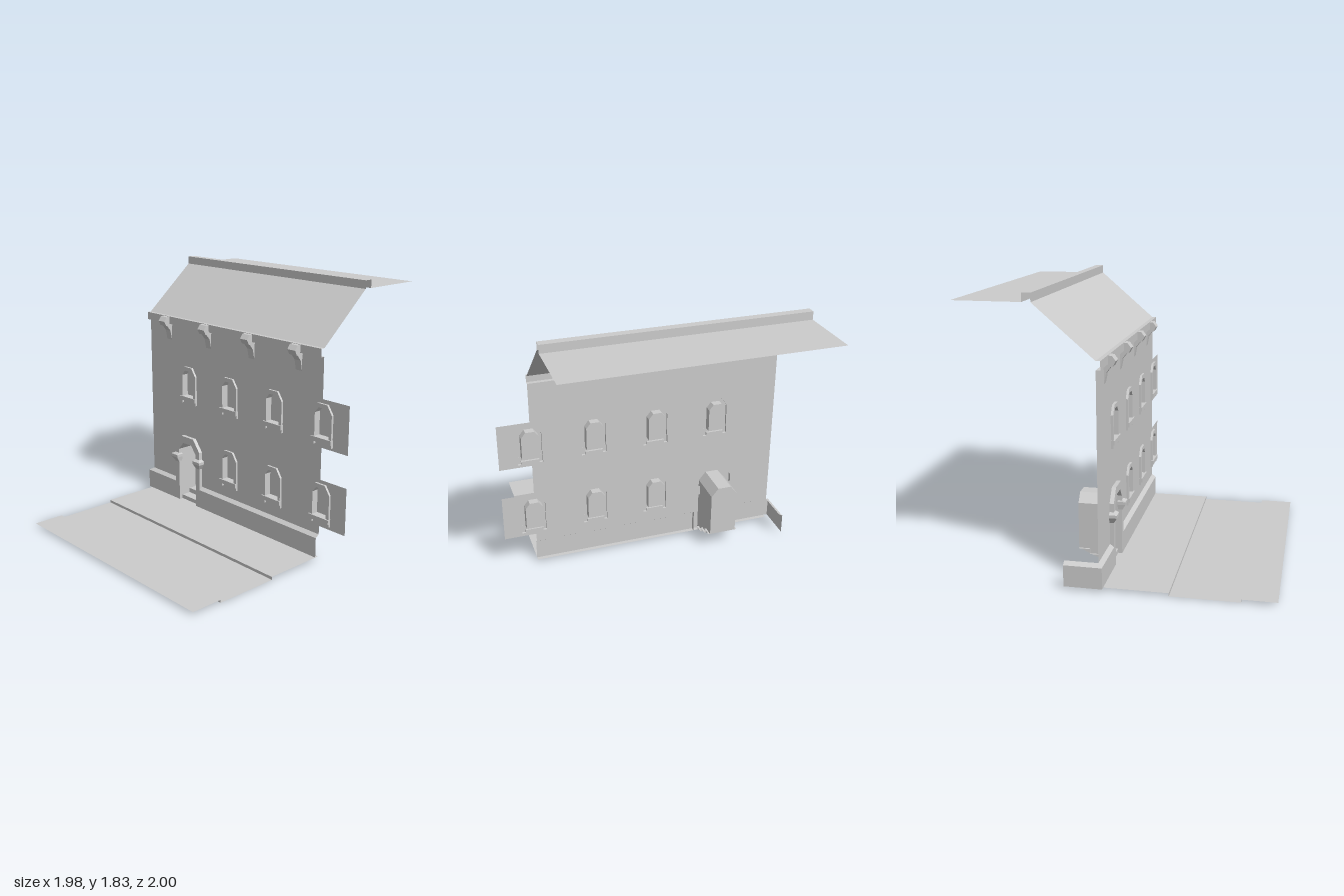
import * as THREE from 'three';

const WALL = 0.108; // x of the wall plane; the facade faces -x
const Z0 = -0.97, Z1 = 0.78; // ends of the modelled street section
const stone = new THREE.MeshStandardMaterial({ color: 0xcccccc, side: THREE.DoubleSide });
stone.name = 'pale grey stone';

function mesh(name, geometry) {
  const m = new THREE.Mesh(geometry, stone);
  m.name = name;
  return m;
}

// Flat-sided surface through a list of 3D cross-sections
function loft(name, sections, closed = false) {
  const pos = [];
  for (let i = 0; i + 1 < sections.length; i++) {
    const a = sections[i], b = sections[i + 1], n = a.length;
    for (let j = 0; j < (closed ? n : n - 1); j++) {
      const k = (j + 1) % n;
      pos.push(...a[j], ...b[j], ...b[k], ...a[j], ...b[k], ...a[k]);
    }
  }
  const g = new THREE.BufferGeometry();
  g.setAttribute('position', new THREE.Float32BufferAttribute(pos, 3));
  g.computeVertexNormals();
  return mesh(name, g);
}

// An x,y profile drawn out along z
const strip = (name, pts, za, zb) =>
  loft(name, [zb, za].map(z => pts.map(([x, y]) => [x, y, z])));

// A z,y outline (with holes) placed at a given x, facing -x
const vec = pts => pts.map(([a, b]) => new THREE.Vector2(a, b));
function panel(name, pts, x, holes = []) {
  const s = new THREE.Shape(vec(pts));
  for (const h of holes) s.holes.push(new THREE.Path(vec(h)));
  return mesh(name, new THREE.ShapeGeometry(s).rotateY(-Math.PI / 2).translate(x, 0, 0));
}

// Side walls joining a z,y outline at two depths
const rim = (name, pts, xa, xb, closed = true) =>
  loft(name, [xa, xb].map(x => pts.map(([z, y]) => [x, y, z])), closed);

// Right half of an outline, mirrored and moved into place
const mirror = (half, cz, cy = 0) => [
  ...half.map(([z, y]) => [cz + z, cy + y]),
  ...[...half].reverse().map(([z, y]) => [cz - z, cy + y]),
];

const frameHalf = [[0.062, 0.285], [0.062, 0.262], [0.086, 0.262], [0.086, 0.315], [0.083, 0.315], [0.083, 0.48], [0.042, 0.541]];
const openHalf = [[0.06, 0.315], [0.06, 0.475], [0.03, 0.513]];

function createWindow(cz, cy) {
  const g = new THREE.Group();
  g.name = 'window';
  const outer = mirror(frameHalf, cz, cy), inner = mirror(openHalf, cz, cy);
  const sill = mesh('windowSill', new THREE.BoxGeometry(0.01, 0.03, 0.174));
  sill.position.set(0.088, cy + 0.3, cz);
  g.add(
    panel('windowFrame', outer, 0.092, [inner]),
    rim('windowFrameEdge', outer, WALL, 0.092),
    rim('windowReveal', inner, 0.092, 0.142),
    panel('windowPane', inner, 0.142),
    sill
  );
  return g;
}

const DOOR = -0.528;
const doorOuter = mirror([[0.137, 0.02], [0.137, 0.455], [0.068, 0.543]], DOOR);
const doorArch = [[0.095, 0.43], [0.046, 0.49]];

function createDoorway() {
  const g = new THREE.Group();
  g.name = 'doorway';
  const front = mirror([[0.095, 0.02], ...doorArch], DOOR);
  const back = mirror([[0.095, 0.12], ...doorArch], DOOR);
  // The surround is one arch band, open at the foot
  const half = doorOuter.length / 2;
  const band = [...doorOuter.slice(0, half), ...doorOuter.slice(half), ...[...front].reverse()];
  g.add(
    panel('doorSurround', band, 0.08),
    rim('doorSurroundEdge', doorOuter, WALL, 0.08, false),
    loft('doorReveal', [
      front.map(([z, y]) => [0.08, y, z]),
      front.map(([z, y]) => [WALL, y, z]),
      back.map(([z, y]) => [0.325, y, z]),
    ]),
    panel('doorBackWall', back, 0.325),
    panel('doorLeaf', [[-0.085, 0.12], [0.085, 0.12], [0.085, 0.42], [-0.085, 0.42]].map(([z, y]) => [DOOR + z, y]), 0.32),
    strip('doorSteps', [[WALL, 0.02], [WALL, 0.05], [0.18, 0.05], [0.18, 0.085], [0.25, 0.085], [0.25, 0.12], [0.325, 0.12]], DOOR - 0.108, DOOR + 0.108)
  );
  // Flared capitals on both pillars: [y, front x, inner offset, outer offset]
  const rings = [[0.325, 0.08, 0.096, 0.137], [0.365, 0.056, 0.09, 0.16], [0.385, 0.056, 0.09, 0.16], [0.398, 0.08, 0.096, 0.137]];
  for (const s of [-1, 1]) {
    g.add(loft('doorCapital', rings.map(([y, x, a, b]) =>
      [[x, y, DOOR + s * a], [x, y, DOOR + s * b], [WALL, y, DOOR + s * b], [WALL, y, DOOR + s * a]]), true));
  }
  return g;
}

// Cornice bracket: wide rounded head over a tapering tail
function createBracket(cz) {
  const g = new THREE.Group();
  g.name = 'corniceBracket';
  const block = (name, pts, w) => mesh(name,
    new THREE.ExtrudeGeometry(new THREE.Shape(vec(pts)), { depth: w, bevelEnabled: false }).translate(0, 0, cz - w / 2));
  g.add(
    block('bracketHead', [[WALL, 1.439], [0.055, 1.436], [0.032, 1.405], [0.05, 1.37], [WALL, 1.37]], 0.068),
    block('bracketTail', [[WALL, 1.38], [0.06, 1.38], [0.066, 1.365], [0.094, 1.33], [WALL, 1.26]], 0.054)
  );
  return g;
}

export function createModel() {
  const model = new THREE.Group();
  model.name = 'streetFacade';

  // Pavement, sunken road, far pavement
  model.add(strip('street', [[-0.99, 0.02], [-0.77, 0.02], [-0.77, 0], [-0.33, 0], [-0.33, 0.02], [WALL, 0.02]], Z0, Z1));

  // Windows: four above, three below beside the door
  const windows = [];
  for (let i = 0; i < 4; i++) {
    const z = 0.789 - i * 0.4385;
    windows.push([z, 0.542]);
    if (i < 3) windows.push([z, 0]);
  }
  windows.forEach(([z, y]) => model.add(createWindow(z, y)));

  // Wall with openings, a door notch and two end tabs
  const notch = [...doorOuter].reverse().map(([z, y]) => [z, Math.max(y, 0.18)]);
  const outline = [
    [Z0, 0.18], ...notch, [Z1, 0.18],
    [Z1, 0.24], [1, 0.24], [1, 0.565], [Z1, 0.565],
    [Z1, 0.785], [1, 0.785], [1, 1.11], [Z1, 1.11],
    [Z1, 1.385], [Z0, 1.385],
  ];
  model.add(panel('wall', outline, WALL, windows.map(([z, y]) => mirror(frameHalf, z, y))));
  model.add(createDoorway());

  // Plinth with a sloped cap, returning around the far corner
  const plinth = z => [[0.08, 0.02, z], [0.08, 0.16, z], [WALL, 0.18, z]];
  model.add(
    loft('plinth', [plinth(Z1), plinth(DOOR + 0.137)]),
    loft('plinthReturn', [
      plinth(DOOR - 0.137),
      [[0.08, 0.02, -1], [0.08, 0.16, -1], [WALL, 0.18, Z0]],
      [[0.325, 0.02, -1], [0.325, 0.16, -1], [0.325, 0.18, Z0]],
    ])
  );

  // Cornice, brackets, sloped roof, parapet and flat roof
  model.add(strip('cornice', [[WALL, 1.385], [0.08, 1.385], [0.08, 1.44], [WALL, 1.44]], Z0, Z1));
  for (let i = 0; i < 4; i++) model.add(createBracket(0.568 - i * 0.4385));
  model.add(
    strip('slopedRoof', [[WALL, 1.44], [0.49, 1.77]], Z0, Z1),
    strip('parapet', [[0.49, 1.77], [0.49, 1.825], [0.545, 1.825], [0.545, 1.77]], Z0, Z1),
    strip('flatRoof', [[0.545, 1.77], [0.985, 1.77]], Z0, Z1)
  );
  return model;
}
